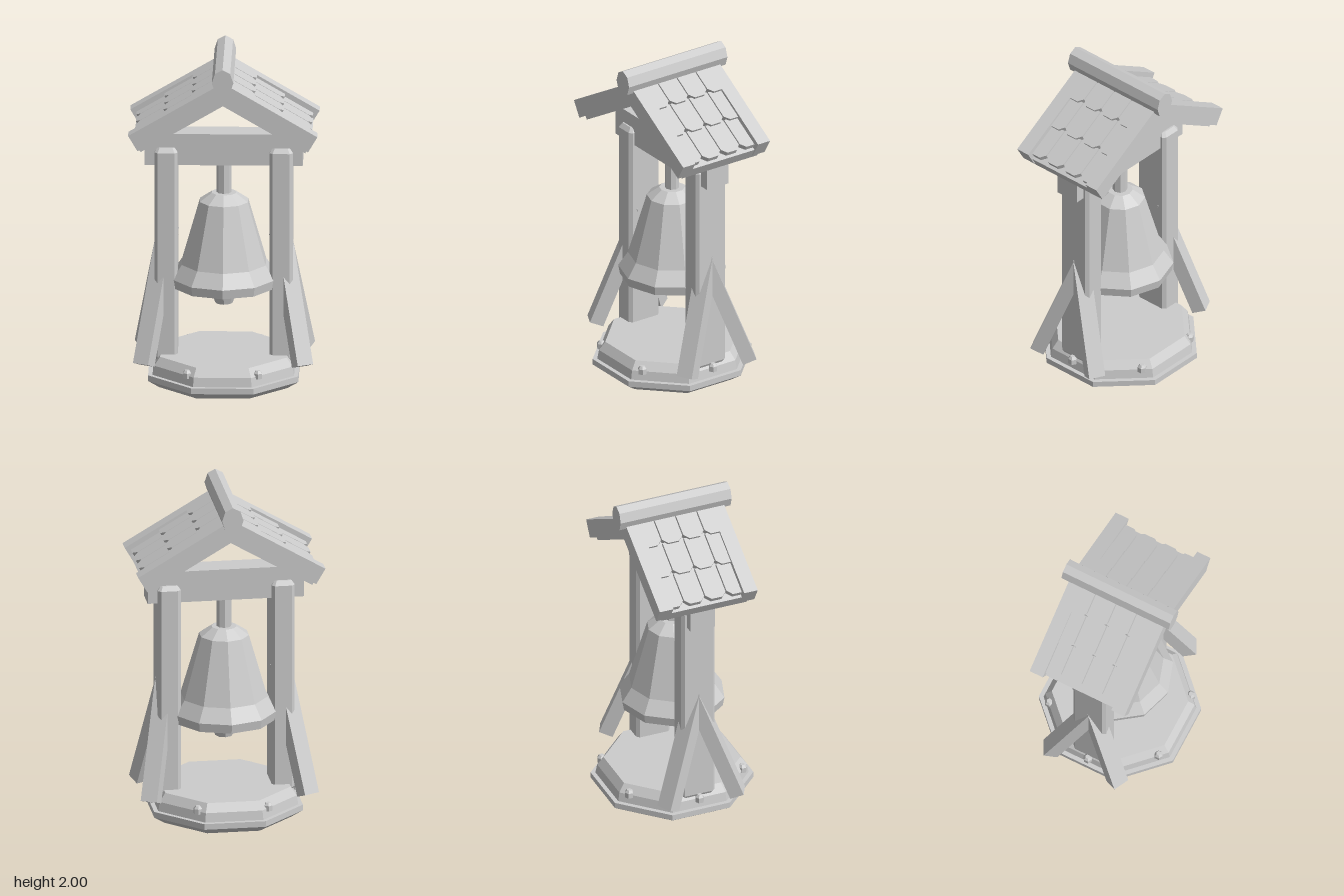
import * as THREE from 'three';

const grey = new THREE.MeshStandardMaterial({ color: 0xcccccc });
grey.name = 'light grey';

// Faceted mesh: every face keeps its own normal
function add(parent, name, geometry) {
  const g = geometry.index ? geometry.toNonIndexed() : geometry;
  g.computeVertexNormals();
  const mesh = new THREE.Mesh(g, grey);
  mesh.name = name;
  parent.add(mesh);
  return mesh;
}

// Stack of chamfered rectangles; each ring is [y, half x, half z, corner cut]
function loft(rings) {
  const pos = [];
  const idx = [];
  for (const [y, hx, hz, c] of rings) {
    const outline = [
      [hx, hz - c], [hx - c, hz], [c - hx, hz], [-hx, hz - c],
      [-hx, c - hz], [c - hx, -hz], [hx - c, -hz], [hx, c - hz],
    ];
    for (const [x, z] of outline) pos.push(x, y, z);
  }
  for (let r = 0; r < rings.length - 1; r++) {
    for (let i = 0; i < 8; i++) {
      const a = r * 8 + i, b = r * 8 + (i + 1) % 8;
      idx.push(a, a + 8, b, b, a + 8, b + 8);
    }
  }
  const top = (rings.length - 1) * 8;
  for (let i = 1; i < 7; i++) {
    idx.push(0, i, i + 1, top, top + i + 1, top + i);
  }
  const g = new THREE.BufferGeometry();
  g.setAttribute('position', new THREE.Float32BufferAttribute(pos, 3));
  g.setIndex(idx);
  return g;
}

function lathe(points, sides) {
  return new THREE.LatheGeometry(points.map(([r, y]) => new THREE.Vector2(r, y)), sides);
}

// Roof tile in the slope plane: x runs down the slope, clipped lower corners
function tileGeometry(length, width, thick) {
  const w = width / 2, c = 0.03;
  const s = new THREE.Shape();
  s.moveTo(-length, -w);
  s.lineTo(-c, -w);
  s.lineTo(0, c - w);
  s.lineTo(0, w - c);
  s.lineTo(-c, w);
  s.lineTo(-length, w);
  s.closePath();
  const g = new THREE.ExtrudeGeometry(s, { depth: thick, bevelEnabled: false });
  return g.rotateX(-Math.PI / 2).translate(0, -thick, 0);
}

function buildBase(model) {
  const base = new THREE.Group();
  base.name = 'base';
  model.add(base);
  const ring = (y, h) => [y, h, h, h * 0.586];
  add(base, 'basePlinth', loft([ring(0, 0.375), ring(0.045, 0.44), ring(0.08, 0.44)]));
  add(base, 'baseStep', loft([ring(0.075, 0.415), ring(0.135, 0.405), ring(0.185, 0.37)]));
  // Six studs around the rim
  for (let i = 0; i < 6; i++) {
    const a = i * Math.PI / 3;
    const stud = add(base, 'stud', lathe([[0, 0.12], [0.027, 0.12], [0.027, 0.152], [0.014, 0.168], [0, 0.168]], 6));
    stud.position.set(Math.cos(a) * 0.415, 0, Math.sin(a) * 0.415);
  }
}

function buildFrame(model) {
  for (const side of [-1, 1]) {
    const post = add(model, 'post', loft([
      [0.15, 0.06, 0.095, 0.018], [0.165, 0.068, 0.107, 0.018],
      [1.415, 0.068, 0.107, 0.018], [1.442, 0.05, 0.087, 0.012],
    ]));
    post.position.x = side * 0.337;

    // Splayed braces running from the post out over the rim
    for (const front of [-1, 1]) {
      const foot = new THREE.Vector3(side * 0.465, 0.155, front * 0.22);
      const up = new THREE.Vector3(-side * 0.178, 1, -front * 0.348).normalize();
      const out = new THREE.Vector3(side * 0.178, 0, front * 0.348);
      out.addScaledVector(up, -out.dot(up)).normalize();
      const across = new THREE.Vector3().crossVectors(up, out);
      const brace = add(model, 'brace', new THREE.BoxGeometry(0.085, 0.83, 0.1).translate(0, 0.415, 0));
      brace.quaternion.setFromRotationMatrix(new THREE.Matrix4().makeBasis(out, up, across.negate()));
      brace.position.copy(foot);
    }
  }
  add(model, 'crossBeam', new THREE.BoxGeometry(0.925, 0.19, 0.155)).position.y = 1.43;
}

function buildBell(model) {
  const bell = new THREE.Group();
  bell.name = 'bell';
  model.add(bell);
  add(bell, 'hanger', new THREE.CylinderGeometry(0.043, 0.043, 0.21, 8)).position.y = 1.24;
  add(bell, 'bellBody', lathe([
    [0, 0.585], [0.305, 0.585], [0.315, 0.64], [0.258, 0.725],
    [0.148, 1.1], [0.075, 1.15], [0, 1.15],
  ], 10));
  add(bell, 'clapper', lathe([[0, 0.475], [0.052, 0.475], [0.075, 0.545], [0.06, 0.59], [0, 0.59]], 8));
}

function buildRoof(model) {
  const roof = new THREE.Group();
  roof.name = 'roof';
  model.add(roof);
  const tilt = THREE.MathUtils.degToRad(30.5);
  const tan = Math.tan(tilt);

  // Sloped slab from the ridge plane to the eave, between two depths below the top
  function slab(end, upper, lower, depth) {
    const s = new THREE.Shape();
    s.moveTo(upper * tan, -upper);
    s.lineTo(end, -upper);
    s.lineTo(end, -lower);
    s.lineTo(lower * tan, -lower);
    s.closePath();
    return new THREE.ExtrudeGeometry(s, { depth, bevelEnabled: false }).translate(0, 0, -depth / 2);
  }

  for (const side of [0, 1]) {
    const turn = new THREE.Group();
    turn.name = 'roofHalf';
    turn.rotation.y = side * Math.PI;
    roof.add(turn);
    const slope = new THREE.Group();
    slope.name = 'roofSlope';
    slope.position.y = 1.908;
    slope.rotation.z = -tilt;
    turn.add(slope);

    add(slope, 'roofDeck', slab(0.637, 0.06, 0.132, 0.54));
    for (const z of [-0.268, 0.268]) {
      add(slope, 'bargeBoard', slab(0.643, 0, 0.108, 0.086)).position.z = z;
    }
    // Three overlapping rows of four tiles
    for (let row = 0; row < 3; row++) {
      for (let col = 0; col < 4; col++) {
        const tile = add(slope, 'roofTile', tileGeometry(0.215, 0.128, 0.034));
        tile.position.set(0.618 - row * 0.2, -0.03 + row * 0.015, (col - 1.5) * 0.135);
      }
    }
  }

  const ridge = new THREE.CylinderGeometry(0.08, 0.08, 0.705, 8).rotateX(Math.PI / 2).scale(0.79, 1, 1);
  add(roof, 'ridgePole', ridge).position.y = 1.92;
}

export function createModel() {
  const model = new THREE.Group();
  model.name = 'bellTower';
  buildBase(model);
  buildFrame(model);
  buildBell(model);
  buildRoof(model);
  return model;
}
